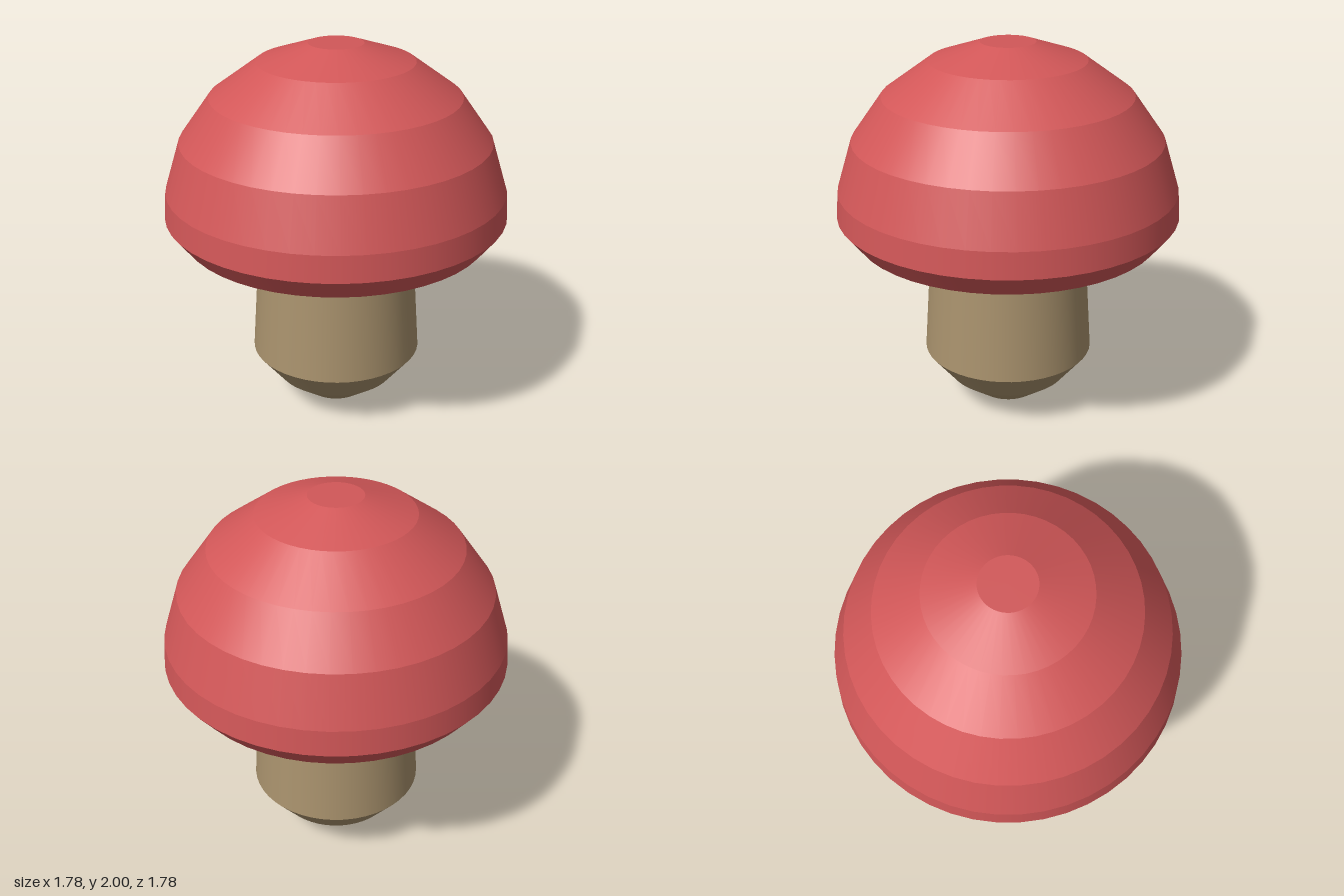
import * as THREE from 'three';

const SEGMENTS = 48;

// One lathe per profile step: smooth around the axis, crisp between bands.
function bandedLathe(name, profile, material) {
  const group = new THREE.Group();
  group.name = name;
  for (let i = 0; i < profile.length - 1; i++) {
    const points = [profile[i], profile[i + 1]].map(([r, y]) => new THREE.Vector2(r, y));
    const band = new THREE.Mesh(new THREE.LatheGeometry(points, SEGMENTS), material);
    band.name = `${name}Band${i + 1}`;
    group.add(band);
  }
  return group;
}

export function createModel() {
  const red = new THREE.MeshStandardMaterial({ color: 0xd25758 });
  red.name = 'capRed';
  const tan = new THREE.MeshStandardMaterial({ color: 0xa9926d });
  tan.name = 'stemTan';

  const model = new THREE.Group();
  model.name = 'mushroom';

  // Stem: faceted rounded foot, then a slight taper up into the cap
  model.add(bandedLathe('stem', [
    [0, 0], [0.16, 0.045], [0.32, 0.165], [0.45, 0.325], [0.395, 1.16], [0, 1.16],
  ], tan));

  // Cap underside: inner lip around the stem, groove, then outer rim
  model.add(bandedLathe('capUnderside', [
    [0.38, 1.14], [0.52, 1.035], [0.64, 1.085], [0.8, 1],
  ], red));

  // Cap dome: bevelled rim rising in bands to a small flat crown
  model.add(bandedLathe('capDome', [
    [0.8, 1], [0.89, 1.115], [0.88, 1.25], [0.8, 1.51],
    [0.64, 1.735], [0.4, 1.91], [0.14, 2], [0, 2],
  ], red));

  return model;
}
